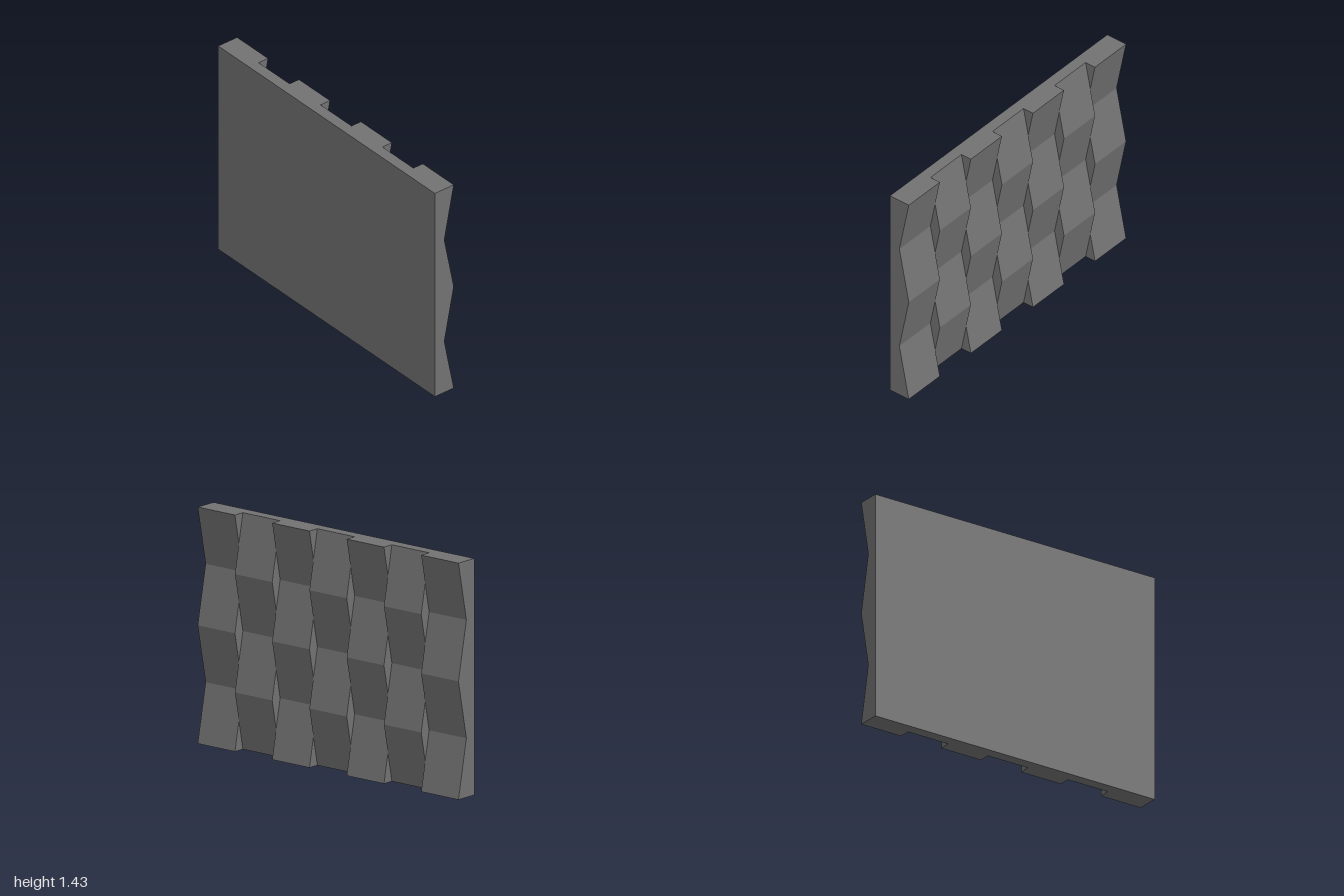
import * as THREE from 'three';

const COLUMNS = 7, ROWS = 4;
const WIDTH = 2 / COLUMNS;      // column width along z
const HEIGHT = 10 / 7;
const DEPTH = 1 / 14;           // back face at -DEPTH, peaks at +DEPTH, valleys at 0

// Zigzag side profile; phase 0 starts on a peak, phase 1 on a valley
function columnGeometry(phase) {
  const shape = new THREE.Shape();
  shape.moveTo(-DEPTH, 0);
  for (let i = 0; i <= ROWS; i++) {
    shape.lineTo((i + phase) % 2 === 0 ? DEPTH : 0, (i * HEIGHT) / ROWS);
  }
  shape.lineTo(-DEPTH, HEIGHT);
  shape.closePath();
  return new THREE.ExtrudeGeometry(shape, { depth: WIDTH, bevelEnabled: false });
}

export function createModel() {
  const panel = new THREE.Group();
  panel.name = 'foldedWallPanel';
  const material = new THREE.MeshStandardMaterial({ color: 0x727272, flatShading: true });
  const geometries = [columnGeometry(0), columnGeometry(1)];

  // Neighbouring columns alternate peaks and valleys
  for (let c = 0; c < COLUMNS; c++) {
    const column = new THREE.Mesh(geometries[c % 2], material);
    column.name = `zigzagColumn${c + 1}`;
    column.position.z = -1 + c * WIDTH;
    panel.add(column);
  }
  return panel;
}
